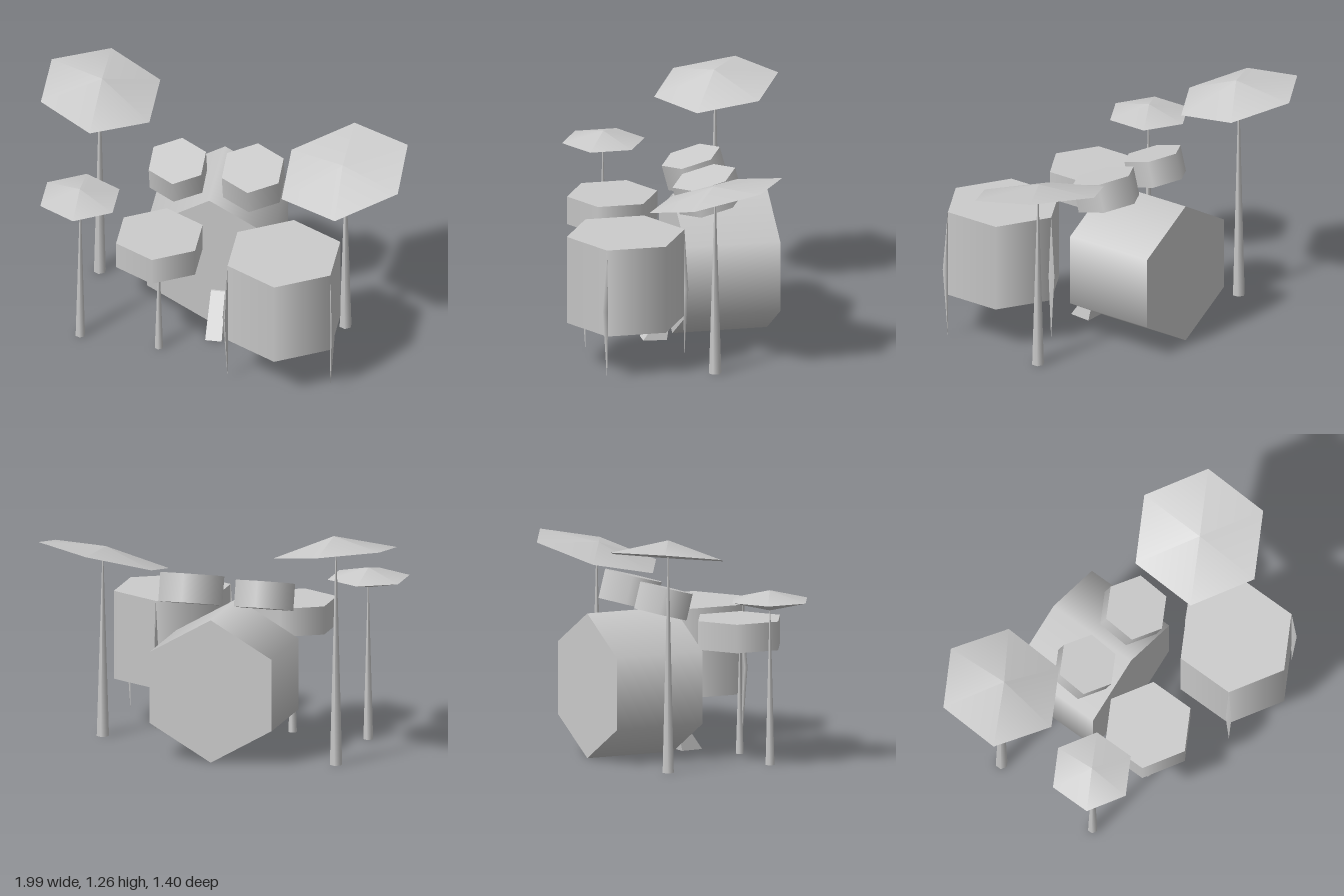
import * as THREE from 'three';

const grey = new THREE.MeshStandardMaterial({ color: 0xcccccc });

export function createModel() {
  const kit = new THREE.Group();

  const add = (name, geometry, x, y, z) => {
    const mesh = new THREE.Mesh(geometry, grey);
    mesh.name = name;
    mesh.position.set(x, y, z);
    kit.add(mesh);
    return mesh;
  };

  // Six-sided drum, leaning about x
  const drum = (name, radius, height, x, y, z, lean = 0) => {
    add(name, new THREE.CylinderGeometry(radius, radius, height, 6), x, y, z).rotation.x = lean;
  };

  // Tapered six-sided stand rising from the floor
  const stand = (name, radius, height, x, z) => {
    add(name, new THREE.CylinderGeometry(0.003, radius, height, 6), x, height / 2, z);
  };

  // Shallow cone whose rim centre is at (x, y, z), tilted to the given normal
  const cymbal = (name, radius, height, x, y, z, normal) => {
    const geometry = new THREE.ConeGeometry(radius, height, 6);
    geometry.translate(0, height / 2, 0);
    const up = new THREE.Vector3(0, 1, 0);
    add(name, geometry, x, y, z).quaternion.setFromUnitVectors(up, new THREE.Vector3(...normal).normalize());
  };

  // Drums
  drum('bassDrum', 0.393, 0.52, -0.045, 0.393, -0.24, Math.PI / 2);
  drum('floorTom', 0.323, 0.485, 0.42, 0.4925, 0.375);
  drum('snareDrum', 0.248, 0.155, -0.27, 0.6575, 0.302);
  drum('rightRackTom', 0.165, 0.145, -0.243, 0.855, -0.142, 0.26);
  drum('leftRackTom', 0.178, 0.157, 0.17, 0.86, -0.127, 0.255);

  // Cymbals; the hi-hat is a pair meeting at the rim
  cymbal('rightCrash', 0.343, 0.09, -0.7, 1.17, -0.36, [0.12, 1, 0.14]);
  cymbal('leftCrash', 0.372, 0.05, 0.677, 0.998, -0.065, [-0.18, 1, 0.2]);
  cymbal('hiHatTop', 0.227, 0.055, -0.71, 0.893, 0.257, [0, 1, 0]);
  cymbal('hiHatBottom', 0.227, 0.055, -0.71, 0.893, 0.257, [0, -1, 0.0001]);

  // Stands
  stand('rightCrashStand', 0.034, 1.17, -0.703, -0.355);
  stand('leftCrashStand', 0.034, 1.0, 0.683, -0.06);
  stand('hiHatStand', 0.027, 0.84, -0.707, 0.26);
  stand('snareStand', 0.0235, 0.58, -0.272, 0.305);

  // Floor tom legs: three-sided spindles that bow outward from the shell
  for (const [x, z, dx, dz, foot] of [
    [0.14, 0.537, -0.011, 0.008, 0.015],
    [0.7, 0.537, 0.011, 0.008, 0.015],
    [0.42, 0.053, 0, -0.004, 0.03],
  ]) {
    const profile = [[0.0005, foot], [0.018, 0.395], [0.0005, 0.735]].map((p) => new THREE.Vector2(...p));
    const geometry = new THREE.LatheGeometry(profile, 3, dz < 0 ? Math.PI : 0);
    const pos = geometry.attributes.position;
    for (let i = 0; i < pos.count; i++) {
      if (Math.abs(pos.getY(i) - 0.395) < 0.01) {
        pos.setX(i, pos.getX(i) + dx);
        pos.setZ(i, pos.getZ(i) + dz);
      }
    }
    geometry.computeVertexNormals();
    add('floorTomLeg', geometry, x, 0, z);
  }

  // Bass pedal: a box pulled into a wedge
  const pedal = new THREE.BoxGeometry(2, 0.22, 1);
  const pos = pedal.attributes.position;
  for (let i = 0; i < pos.count; i++) {
    const top = pos.getY(i) > 0;
    const front = pos.getZ(i) > 0;
    pos.setX(i, pos.getX(i) * (top ? 0.039 : front ? 0.045 : 0.058));
    pos.setZ(i, top ? (front ? 0.046 : 0.036) : (front ? 0.2 : 0.073));
  }
  pedal.computeVertexNormals();
  add('bassPedal', pedal, 0.007, 0.11, 0);

  return kit;
}
